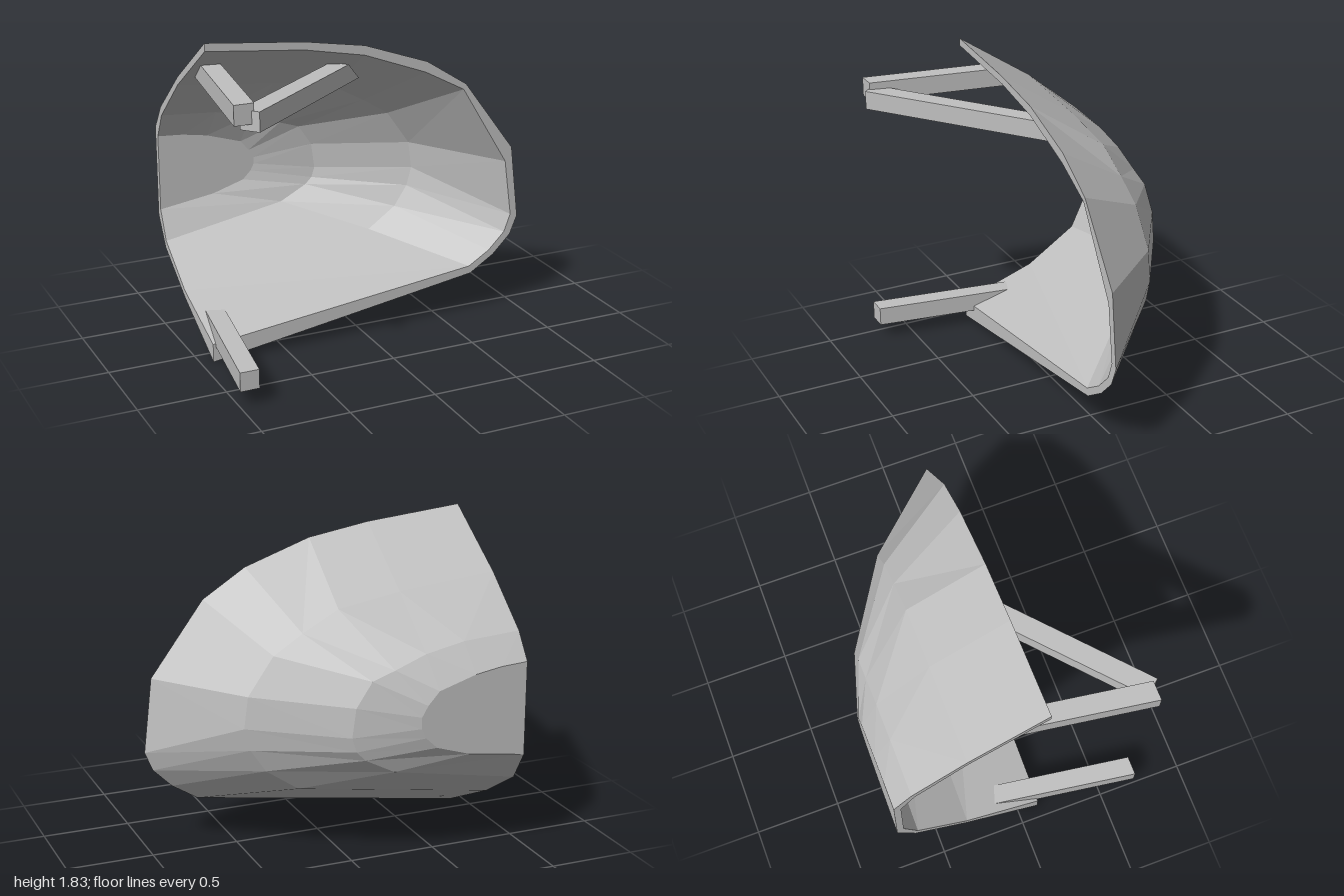
import * as THREE from 'three';

const EDGE = -0.93; // plane of the open, cut side

// Cross-sections of the shell [x, y], from the top edge round to the bottom edge
const rimOuter = [[EDGE, 1.83], [-0.36, 1.775], [0, 1.715], [0.385, 1.58], [0.635, 1.42], [0.945, 1.0],
  [0.995, 0.57], [0.95, 0.46], [0.84, 0.35], [0.69, 0.255], [EDGE, 0]];
const inner = [
  [[EDGE, 1.785], [-0.36, 1.73], [0, 1.66], [0.375, 1.52], [0.62, 1.39], [0.905, 0.92],
    [0.95, 0.585], [0.91, 0.48], [0.81, 0.38], [0.68, 0.3], [EDGE, 0.107]],
  [[EDGE, 1.487], [-0.36, 1.43], [0, 1.37], [0.2, 1.26], [0.36, 1.16], [0.5, 0.96],
    [0.52, 0.8], [0.49, 0.69], [0.41, 0.57], [0.24, 0.45], [EDGE, 0.262]],
  [[EDGE, 1.228], [-0.6, 1.205], [-0.38, 1.16], [-0.2, 1.09], [-0.08, 1.05], [0, 0.93],
    [0.02, 0.78], [0, 0.72], [-0.04, 0.68], [-0.2, 0.595], [EDGE, 0.46]],
  [[EDGE, 1.08], [-0.78, 1.07], [-0.63, 1.045], [-0.42, 0.98], [-0.37, 0.92], [-0.34, 0.87],
    [-0.34, 0.83], [-0.36, 0.79], [-0.41, 0.74], [-0.6, 0.68], [EDGE, 0.63]],
];
const innerZ = [0.12, -0.33, -0.63, -0.71];
const outerZ = [0.12, -0.33, -0.645, -0.75];

// Push a section outward by the wall thickness; the ends stay in the cut plane
function offset(ring, d) {
  return ring.map(([x, y], j) => {
    if (j === 0) return [x, y + d];
    if (j === ring.length - 1) return [x, y - d];
    const dx = ring[j + 1][0] - ring[j - 1][0], dy = ring[j + 1][1] - ring[j - 1][1];
    const l = Math.hypot(dx, dy);
    return [x - dy / l * d, y + dx / l * d];
  });
}

function shellGeometry() {
  const at = (rings, zs) => rings.map((r, i) => r.map(([x, y]) => [x, y, zs[i]]));
  const I = at(inner, innerZ);
  const O = at([rimOuter, ...inner.slice(1).map((r) => offset(r, 0.045))], outerZ);
  const pos = [];
  const tri = (a, b, c) => pos.push(...a, ...b, ...c);
  const quad = (a, b, c, d) => { tri(a, b, c); tri(a, c, d); };
  const n = rimOuter.length - 1, last = I.length - 1;

  // Outer and inner walls, with the wall thickness showing on the cut side
  for (let r = 0; r < last; r++) {
    for (let j = 0; j < n; j++) {
      quad(O[r][j], O[r][j + 1], O[r + 1][j + 1], O[r + 1][j]);
      quad(I[r][j], I[r + 1][j], I[r + 1][j + 1], I[r][j + 1]);
    }
    quad(O[r][0], O[r + 1][0], I[r + 1][0], I[r][0]);
    quad(O[r][n], I[r][n], I[r + 1][n], O[r + 1][n]);
  }
  // Front rim and flat back
  const co = [EDGE, 0.85, outerZ[last]], ci = [EDGE, 0.85, innerZ[last]];
  for (let j = 0; j < n; j++) {
    quad(O[0][j], I[0][j], I[0][j + 1], O[0][j + 1]);
    tri(co, O[last][j], O[last][j + 1]);
    tri(ci, I[last][j + 1], I[last][j]);
  }
  quad(O[last][0], O[last][n], I[last][n], I[last][0]);

  const g = new THREE.BufferGeometry();
  g.setAttribute('position', new THREE.Float32BufferAttribute(pos, 3));
  g.computeVertexNormals();
  return g;
}

// Square bar from front edge a-b (x, z), running along dir, with a slanted rear end
function barGeometry(a, b, y0, y1, dir, lenBottom, lenTop) {
  const g = new THREE.BoxGeometry(1, 1, 1).toNonIndexed();
  const p = g.attributes.position;
  for (let i = 0; i < p.count; i++) {
    const u = p.getX(i) + 0.5, top = p.getY(i) > 0;
    const s = p.getZ(i) > 0 ? 0 : top ? lenTop : lenBottom;
    p.setXYZ(i,
      a[0] + (b[0] - a[0]) * u + dir[0] * s,
      (top ? y1 : y0) + dir[1] * s,
      a[1] + (b[1] - a[1]) * u + dir[2] * s);
  }
  g.computeVertexNormals();
  return g;
}

export function createModel() {
  const group = new THREE.Group();
  const grey = new THREE.MeshStandardMaterial({ color: 0xc0c0c0, flatShading: true });
  grey.name = 'plain grey';
  const add = (name, geometry) => {
    const mesh = new THREE.Mesh(geometry, grey);
    mesh.name = name;
    group.add(mesh);
  };

  add('shell', shellGeometry());

  // Support bars reaching forward out of the shell
  const straight = [0.145, 0, -1];
  add('lowerBar', barGeometry([-1, 0.708], [-0.89, 0.708], 0.092, 0.202, straight, 0.74, 0.85));
  add('upperBar', barGeometry([-1, 0.708], [-0.89, 0.708], 1.55, 1.66, straight, 0.96, 0.8));
  add('diagonalBar', barGeometry([-0.948, 0.657], [-0.875, 0.742], 1.512, 1.62,
    [0.75, -0.03, -0.66], 1.24, 1.1));

  return group;
}
